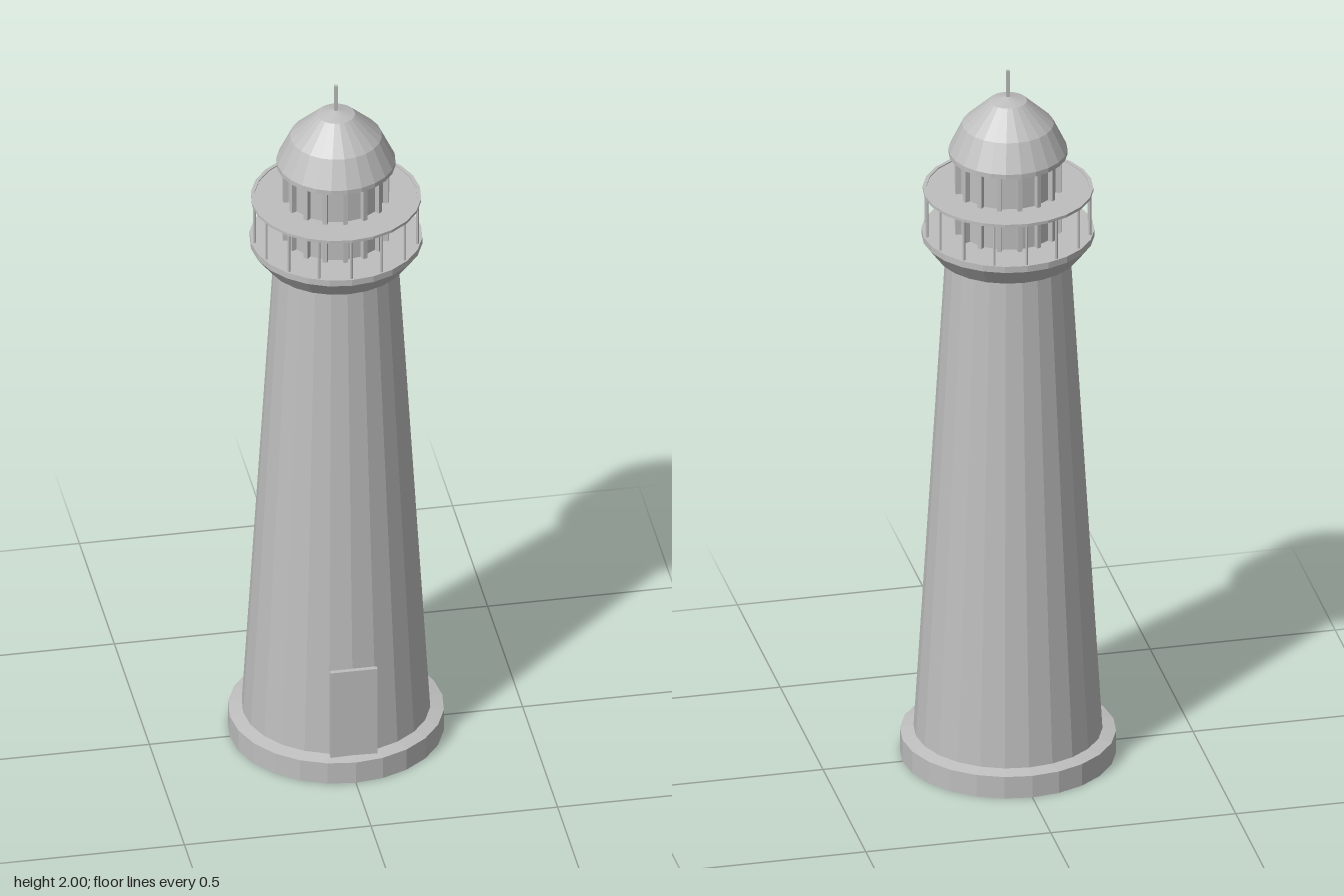
import * as THREE from 'three';

const SIDES = 24;

export function createModel() {
  const model = new THREE.Group();
  const stone = new THREE.MeshStandardMaterial({ color: 0xbebebe });
  stone.name = 'grey stone';
  stone.flatShading = true;

  function add(name, geometry, x = 0, y = 0, z = 0, parent = model) {
    const mesh = new THREE.Mesh(geometry, stone);
    mesh.name = name;
    mesh.position.set(x, y, z);
    parent.add(mesh);
    return mesh;
  }

  // Turned part from [radius, height] pairs, listed bottom to top
  const turned = (points) =>
    new THREE.LatheGeometry(points.map(([r, y]) => new THREE.Vector2(r, y)), SIDES);

  // Evenly spaced uprights on a circle
  function ringOf(name, count, radius, makeGeometry, y) {
    const group = new THREE.Group();
    group.name = name + 's';
    const geometry = makeGeometry();
    for (let i = 0; i < count; i++) {
      const a = (i / count) * Math.PI * 2;
      const upright = add(name, geometry, Math.sin(a) * radius, y, Math.cos(a) * radius, group);
      upright.rotation.y = a;
    }
    model.add(group);
  }

  // Foundation with a gently sloping top
  add('foundation', turned([[0, 0], [0.285, 0], [0.285, 0.063], [0.247, 0.071], [0, 0.071]]));

  // Tapered tower and its door
  add('tower', new THREE.CylinderGeometry(0.164, 0.249, 1.41, SIDES), 0, 0.775, 0);
  add('door', new THREE.BoxGeometry(0.126, 0.265, 0.013), 0, 0.1985, 0.2505);

  // Flared gallery deck
  add('galleryDeck', turned([[0, 1.467], [0.19, 1.467], [0.228, 1.517], [0.228, 1.535], [0, 1.535]]));

  // Railing: posts carrying a thin platform with a raised rim
  ringOf('railingPost', 16, 0.219, () => new THREE.CylinderGeometry(0.004, 0.004, 0.12, 6), 1.594);
  add('railingTop', turned([
    [0, 1.649], [0.225, 1.649], [0.225, 1.657], [0.215, 1.657], [0.215, 1.654], [0, 1.654],
  ]));

  // Lantern room with glazing bars
  add('lanternRoom', new THREE.CylinderGeometry(0.128, 0.128, 0.23, 16), 0, 1.645, 0);
  ringOf('glazingBar', 16, 0.135, () => new THREE.BoxGeometry(0.012, 0.23, 0.014), 1.645);

  // Domed roof and spire
  add('domeRoof', turned([
    [0, 1.757], [0.157, 1.757], [0.157, 1.77], [0.121, 1.845], [0.05, 1.912], [0, 1.925],
  ]));
  add('spire', new THREE.BoxGeometry(0.009, 0.09, 0.009), 0, 1.955, 0);

  return model;
}
